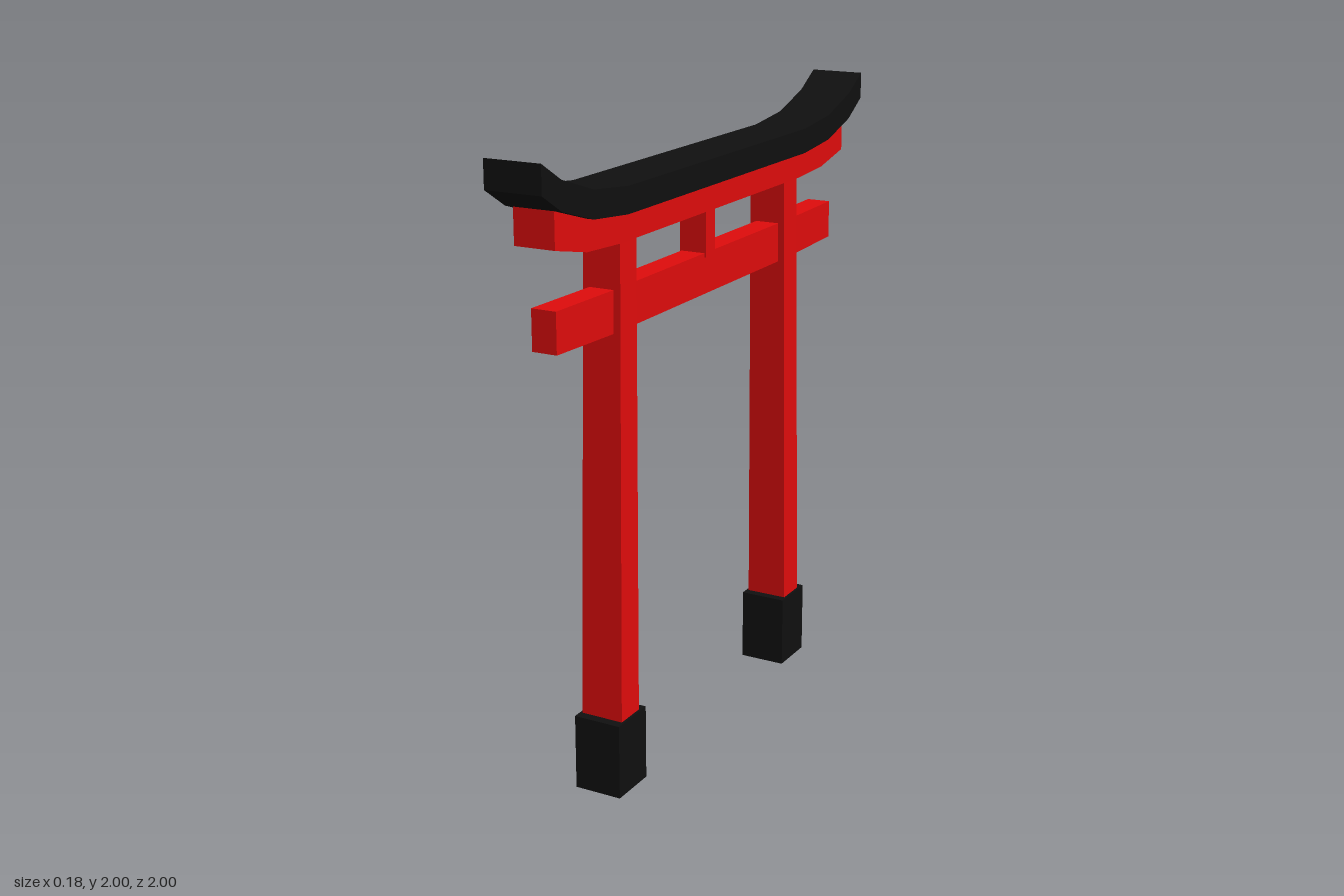
import * as THREE from 'three';

const red = new THREE.MeshStandardMaterial({ color: 0xe00c0c, flatShading: true });
const black = new THREE.MeshStandardMaterial({ color: 0x101010, flatShading: true });

// Beam across the gate: [z, bottom y, top y] stations of one half, mirrored and given a width in x
function beam(name, half, width, material) {
  const mirrored = half.map(([z, b, t]) => [-z, b, t]).reverse();
  const stations = [...mirrored, ...half];
  const outline = [
    ...stations.map(([z, b]) => new THREE.Vector2(z, b)),
    ...stations.map(([z, , t]) => new THREE.Vector2(z, t)).reverse(),
  ];
  const geometry = new THREE.ExtrudeGeometry(new THREE.Shape(outline), { depth: width, bevelEnabled: false });
  geometry.translate(0, 0, -width / 2).rotateY(-Math.PI / 2);
  const mesh = new THREE.Mesh(geometry, material);
  mesh.name = name;
  return mesh;
}

function box(name, w, h, d, x, y, z, material) {
  const mesh = new THREE.Mesh(new THREE.BoxGeometry(w, h, d), material);
  mesh.position.set(x, y, z);
  mesh.name = name;
  return mesh;
}

// Square post that tapers and leans inward toward the top
function post(side) {
  const y0 = 0.2, y1 = 1.74;
  const mesh = box('post', 1, y1 - y0, 1, 0, (y0 + y1) / 2, 0, red);
  const p = mesh.geometry.attributes.position;
  for (let i = 0; i < p.count; i++) {
    const top = p.getY(i) > 0;
    p.setX(i, p.getX(i) * (top ? 0.122 : 0.14));
    p.setZ(i, p.getZ(i) * (top ? 0.09 : 0.102) + side * (top ? 0.518 : 0.553));
  }
  mesh.geometry.computeVertexNormals();
  return mesh;
}

export function createModel() {
  const gate = new THREE.Group();
  gate.name = 'gate';

  // Posts standing in dark bases
  for (const side of [1, -1]) {
    gate.add(box('postBase', 0.155, 0.24, 0.16, 0, 0.12, side * 0.553, black));
    gate.add(post(side));
  }

  // Lower tie beam and the short strut above it
  gate.add(beam('tieBeam', [[0.56, 1.44, 1.568], [0.869, 1.45, 1.573]], 0.08, red));
  gate.add(box('centreStrut', 0.09, 0.16, 0.06, 0, 1.635, 0, red));

  // Upper beam and the upswept cap on top of it
  gate.add(beam('upperBeam', [[0.57, 1.705, 1.8], [0.745, 1.715, 1.82], [0.905, 1.75, 1.865]], 0.13, red));
  gate.add(beam('roofCap',
    [[0.565, 1.79, 1.87], [0.745, 1.808, 1.89], [0.905, 1.857, 1.943], [1, 1.915, 2]], 0.18, black));

  return gate;
}
